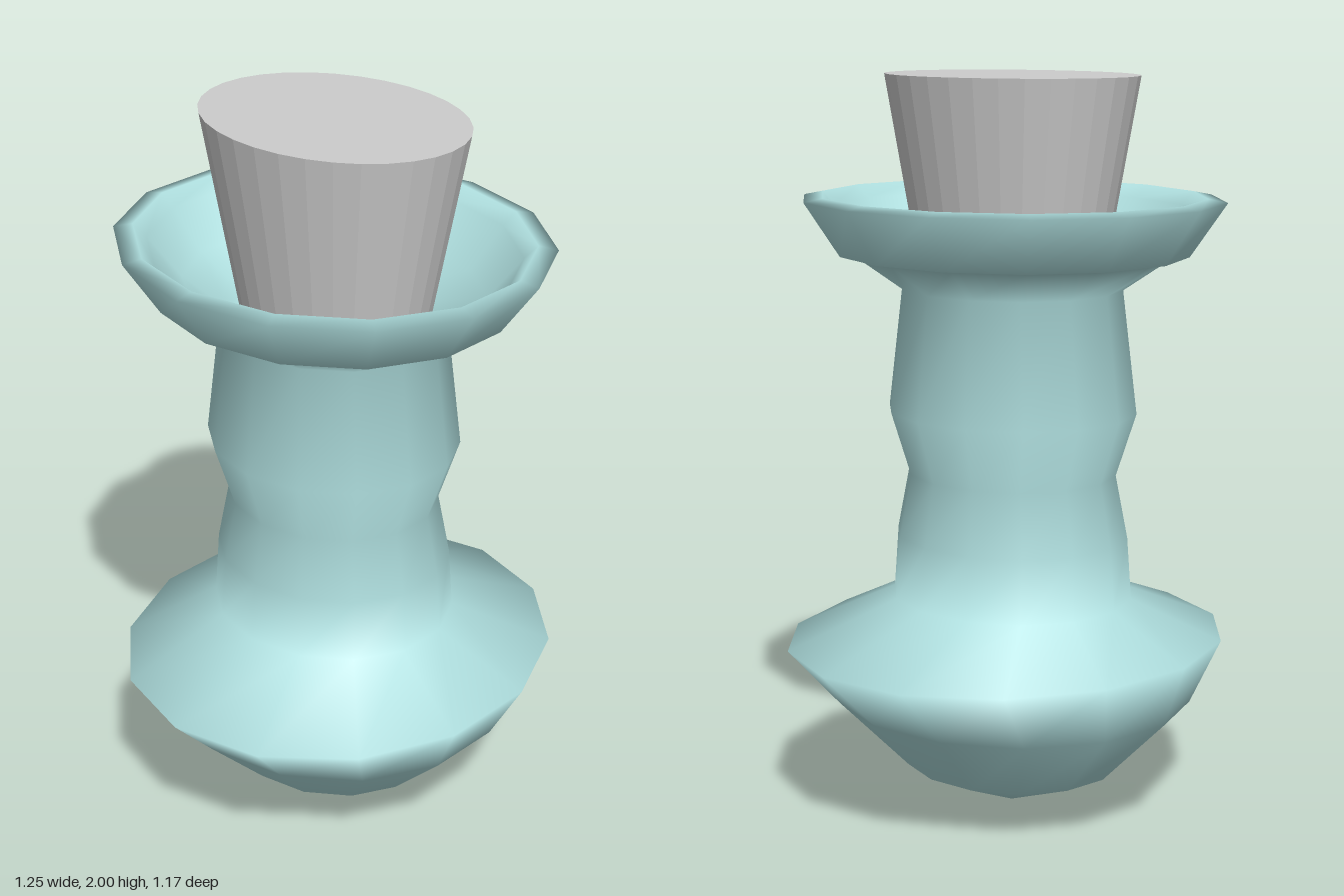
import * as THREE from 'three';

const SIDES = 14;

// Skin elliptical rings [y, radiusX, radiusZ, offsetZ] into one smooth surface
function loft(rings, bottomY, floorY) {
  const pos = [], idx = [];
  for (const [y, rx, rz, oz = 0] of rings) {
    for (let i = 0; i < SIDES; i++) {
      const a = (i / SIDES) * Math.PI * 2 + 0.05;
      pos.push(Math.cos(a) * rx, y, Math.sin(a) * rz + oz);
    }
  }
  for (let r = 0; r < rings.length - 1; r++) {
    for (let i = 0; i < SIDES; i++) {
      const j = (i + 1) % SIDES;
      const a = r * SIDES + i, b = r * SIDES + j, c = a + SIDES, d = b + SIDES;
      idx.push(a, c, b, b, c, d);
    }
  }
  // close the pointed base and the inner floor under the stopper
  const tip = rings.length * SIDES, floor = tip + 1, last = (rings.length - 1) * SIDES;
  pos.push(0, bottomY, 0, 0, floorY, 0);
  for (let i = 0; i < SIDES; i++) {
    const j = (i + 1) % SIDES;
    idx.push(tip, i, j, floor, last + j, last + i);
  }
  const geo = new THREE.BufferGeometry();
  geo.setAttribute('position', new THREE.Float32BufferAttribute(pos, 3));
  geo.setIndex(idx);
  geo.computeVertexNormals();
  return geo;
}

export function createModel() {
  const model = new THREE.Group();
  const glass = new THREE.MeshStandardMaterial({ color: 0xb0e0e0, side: THREE.DoubleSide });
  const grey = new THREE.MeshStandardMaterial({ color: 0xcccccc, flatShading: true });

  // Flask: pointed base, wide belly, waisted neck, flared lip and inner bowl
  const rings = [
    [0.125, 0.285, 0.31],
    [0.32, 0.475, 0.505],
    [0.48, 0.625, 0.57, 0.02],
    [0.60, 0.315, 0.34],
    [0.77, 0.30, 0.33],
    [0.94, 0.27, 0.295],
    [1.11, 0.32, 0.352],
    [1.44, 0.285, 0.31],
    [1.525, 0.40, 0.44],
    [1.532, 0.45, 0.49],
    [1.675, 0.54, 0.592],
    [1.685, 0.49, 0.54],
    [1.65, 0.455, 0.505],
    [1.54, 0.36, 0.42],
    [1.46, 0.26, 0.29],
    [1.38, 0.23, 0.27],
  ];
  const flask = new THREE.Mesh(loft(rings, 0, 1.36), glass);
  flask.name = 'flask';
  model.add(flask);

  // Tapered oval stopper
  const stopper = new THREE.Mesh(new THREE.CylinderGeometry(1, 0.69, 0.6, 32), grey);
  stopper.name = 'stopper';
  stopper.scale.set(0.292, 1, 0.378);
  stopper.position.set(0.007, 1.7, -0.005);
  model.add(stopper);

  return model;
}
